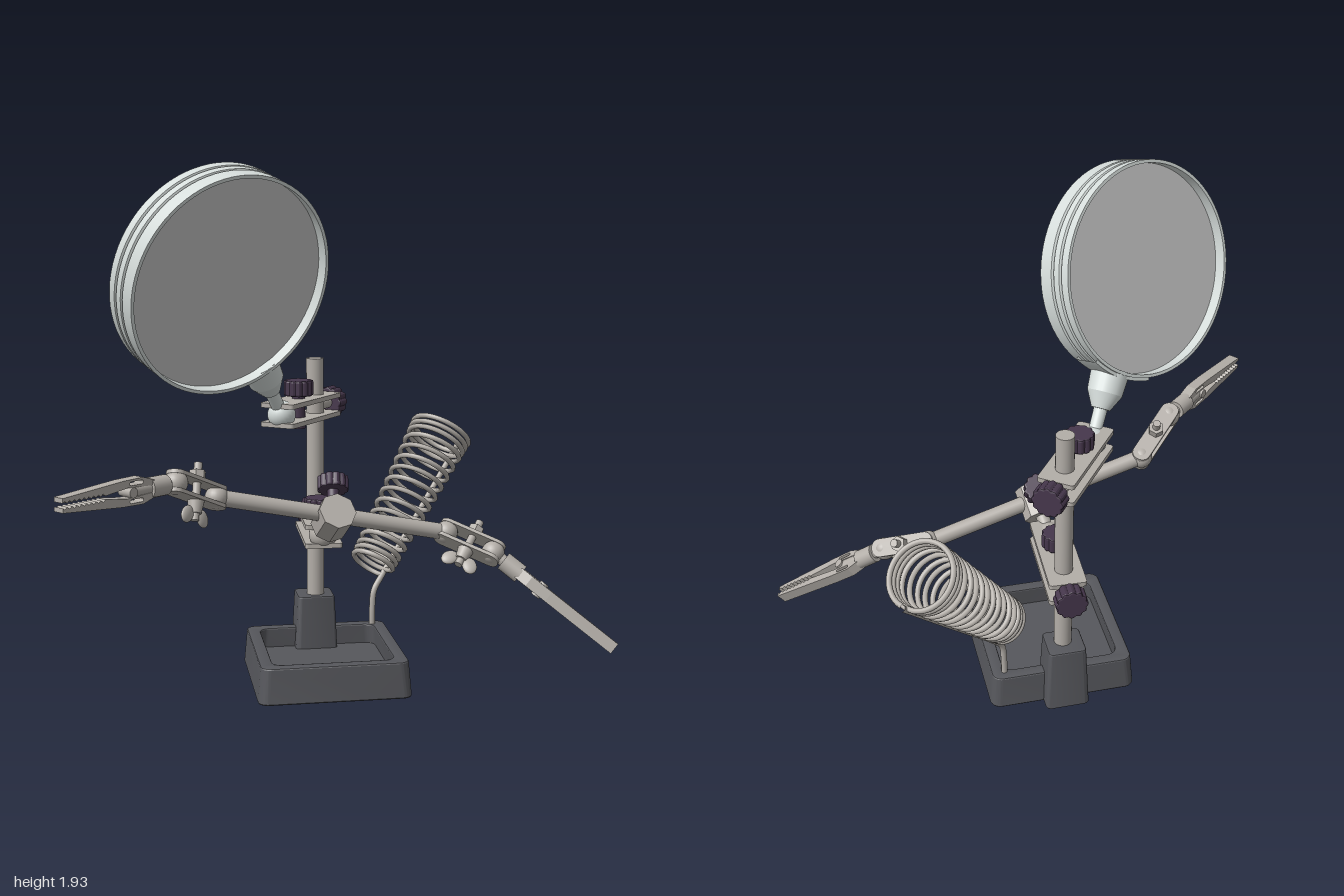
import * as THREE from 'three';
import { toCreasedNormals } from 'three/addons/utils/BufferGeometryUtils.js';

const mat = (color, side = THREE.FrontSide) => new THREE.MeshStandardMaterial({ color, side });
const METAL = mat(0xb3aea8), DARK = mat(0x56575c), KNOB = mat(0x46374c);
const PALE = mat(0xd6dddb, THREE.DoubleSide), GLASS = mat(0xcccfce);
const V = (x, y, z) => new THREE.Vector3(x, y, z);
const UP = V(0, 1, 0);

function add(parent, name, geo, material, pos) {
  const m = new THREE.Mesh(geo, material);
  m.name = name;
  if (pos) m.position.copy(pos);
  parent.add(m);
  return m;
}

// Group whose +x runs along dir and whose +y leans towards hint
function frame(parent, name, pos, dir, hint) {
  const g = new THREE.Group();
  const x = dir.clone().normalize();
  const y = hint.clone().addScaledVector(x, -hint.dot(x)).normalize();
  g.quaternion.setFromRotationMatrix(new THREE.Matrix4().makeBasis(x, y, x.clone().cross(y)));
  g.position.copy(pos);
  g.name = name;
  parent.add(g);
  return g;
}

// Round or faceted bar from a to b
function bar(parent, name, a, b, ra, rb = ra, material = METAL, sides = 24) {
  const geo = new THREE.CylinderGeometry(rb, ra, a.distanceTo(b), sides);
  const m = add(parent, name, sides < 12 ? toCreasedNormals(geo, 0.3) : geo, material, a.clone().lerp(b, 0.5));
  m.quaternion.setFromUnitVectors(UP, b.clone().sub(a).normalize());
  return m;
}

const ball = (parent, name, pos, r, material = METAL) =>
  add(parent, name, new THREE.SphereGeometry(r, 24, 16), material, pos);

// Fluted hand knob centred at pos, turning about axis
function knob(parent, name, pos, axis, r = 0.055, h = 0.06) {
  const pts = [];
  for (let i = 0; i < 96; i++) {
    const a = i / 96 * Math.PI * 2, q = (r - 0.008) * (1 + 0.06 * Math.cos(12 * a));
    pts.push(new THREE.Vector2(q * Math.cos(a), q * Math.sin(a)));
  }
  const geo = new THREE.ExtrudeGeometry(new THREE.Shape(pts),
    { depth: h - 0.014, bevelSize: 0.006, bevelThickness: 0.007, bevelSegments: 2 });
  geo.translate(0, 0, -h / 2 + 0.007);
  const m = add(parent, name, geo, KNOB, pos);
  m.quaternion.setFromUnitVectors(V(0, 0, 1), axis.clone().normalize());
}

function roundRect(x0, x1, z0, z1, r, Type = THREE.Shape) {
  const s = new Type();
  s.absarc(x1 - r, z1 - r, r, 0, Math.PI / 2);
  s.absarc(x0 + r, z1 - r, r, Math.PI / 2, Math.PI);
  s.absarc(x0 + r, z0 + r, r, Math.PI, Math.PI * 1.5);
  s.absarc(x1 - r, z0 + r, r, Math.PI * 1.5, Math.PI * 2);
  s.closePath();
  return s;
}

// Upright block with rounded corners, narrowing towards its top
function taperBlock(parent, name, shape, y0, y1, cx, cz, taper) {
  const geo = new THREE.ExtrudeGeometry(shape, { depth: y1 - y0 - 0.01, bevelSize: 0.008, bevelOffset: -0.008,
    bevelThickness: 0.005, bevelSegments: 2, curveSegments: 6 });
  geo.rotateX(-Math.PI / 2).translate(0, 0.005, 0);
  const p = geo.attributes.position;
  for (let i = 0; i < p.count; i++) {
    const k = 1 - taper * p.getY(i) / (y1 - y0);
    p.setXYZ(i, p.getX(i) * k + cx, p.getY(i) + y0, p.getZ(i) * k + cz);
  }
  geo.computeVertexNormals();
  add(parent, name, toCreasedNormals(geo, 0.5), DARK);
}

// Pair of flat plates gripping the pole at one end and a ball at the other
function poleClamp(parent, name, pole, end) {
  const u = end.clone().sub(pole), len = u.length();
  const g = frame(parent, name, pole, u, UP);
  for (const y of [-0.045, 0.027])
    add(g, 'clampPlate', new THREE.ExtrudeGeometry(roundRect(-0.09, len + 0.04, -0.07, 0.07, 0.012),
      { depth: 0.018, bevelEnabled: false }).rotateX(-Math.PI / 2), METAL, V(0, y, 0));
  bar(g, 'clampScrew', V(len / 2, -0.07, 0), V(len / 2, 0.06, 0), 0.025, 0.025, KNOB);
  knob(g, 'clampKnob', V(len / 2, 0.085, 0), UP);
  bar(g, 'poleScrew', V(-0.12, 0, 0), V(0, 0, 0), 0.022);
  knob(g, 'poleKnob', V(-0.13, 0, 0), V(1, 0, 0), 0.06, 0.06);
}

// Toothed jaw outline, opening downwards
function jawGeometry(len) {
  const s = new THREE.Shape([[0, 0.012], [0, 0.03], [0.05, 0.046], [0.14, 0.044], [len, 0.024], [len, 0.008]]
    .map(p => new THREE.Vector2(...p)));
  for (let i = 0; i < 9; i++) {
    const x = len - 0.008 - i * 0.02;
    s.lineTo(x, 0.014);
    s.lineTo(x - 0.01, 0.006);
  }
  s.lineTo(0.12, 0.018);
  s.holes.push(roundRect(0.05, 0.11, 0.024, 0.037, 0.006, THREE.Path));
  return new THREE.ExtrudeGeometry(s, { depth: 0.044, bevelEnabled: false }).translate(0, 0, -0.022);
}

// Jointed gripper: rod end a, swivel plates to b, then a clip reaching tip
function gripper(parent, name, a, b, tip, boltHint, jawHint) {
  const g = new THREE.Group();
  g.name = name;
  parent.add(g);
  ball(g, 'innerBall', a, 0.043);
  ball(g, 'outerBall', b, 0.043);
  const len = a.distanceTo(b);
  const j = frame(g, 'swivelJoint', a, b.clone().sub(a), boltHint);
  for (const y of [-0.04, 0.026])
    add(j, 'swivelPlate', new THREE.ExtrudeGeometry(roundRect(-0.035, len + 0.035, -0.035, 0.035, 0.033),
      { depth: 0.014, bevelEnabled: false }).rotateX(-Math.PI / 2), METAL, V(0, y, 0));
  bar(j, 'swivelBolt', V(len / 2, -0.1, 0), V(len / 2, 0.11, 0), 0.015);
  bar(j, 'boltHead', V(len / 2, -0.07, 0), V(len / 2, -0.04, 0), 0.03, 0.03, METAL, 6);
  bar(j, 'wingNut', V(len / 2, 0.04, 0), V(len / 2, 0.085, 0), 0.03, 0.022);
  for (const s of [-1, 1]) {
    const w = ball(j, 'nutWing', V(len / 2 + s * 0.04, 0.095, 0), 0.034);
    w.scale.set(0.8, 1, 0.35);
    w.rotation.z = -s * 0.6;
  }
  const d = tip.clone().sub(b), total = d.length();
  const c = frame(g, 'clip', b, d, jawHint);
  bar(c, 'clipStem', V(0, 0, 0), V(0.08, 0, 0), 0.022);
  bar(c, 'clipSocket', V(0.05, 0, 0), V(0.13, 0, 0), 0.036);
  bar(c, 'clipPivot', V(0.22, 0, -0.03), V(0.22, 0, 0.03), 0.018);
  bar(c, 'clipShank', V(0.12, 0, 0), V(0.22, 0, 0), 0.024);
  const geo = jawGeometry(total - 0.12);
  add(c, 'upperJaw', geo, METAL, V(0.12, 0, 0));
  add(c, 'lowerJaw', geo, METAL, V(0.12, 0, 0)).rotation.x = Math.PI;
}

export function createModel() {
  const root = new THREE.Group();
  root.name = 'helpingHandStand';

  // Base tray, column foot and pole
  const tray = roundRect(-0.285, 0.285, -0.285, 0.285, 0.04);
  tray.holes.push(roundRect(-0.235, 0.235, -0.235, 0.235, 0.04, THREE.Path));
  taperBlock(root, 'baseTray', tray, 0, 0.135, -0.03, -0.045, 0.04);
  add(root, 'trayFloor', new THREE.BoxGeometry(0.52, 0.055, 0.52), DARK, V(-0.03, 0.03, -0.045));
  taperBlock(root, 'columnFoot', roundRect(-0.085, 0.085, -0.08, 0.08, 0.02), 0, 0.265, -0.033, -0.305, 0.15);
  bar(root, 'pole', V(-0.03, 0.1, -0.295), V(-0.03, 1.2, -0.295), 0.034);

  // Magnifier on the upper clamp
  const lensBall = V(-0.187, 1.015, -0.083), lensC = V(-0.427, 1.532, 0.23), n = V(0.42, -0.23, 0.88);
  poleClamp(root, 'upperClamp', V(-0.03, 1.015, -0.295), lensBall);
  ball(root, 'magnifierBall', lensBall, 0.053, PALE);
  const w = lensBall.clone().sub(lensC).normalize(), at = d => lensC.clone().addScaledVector(w, d);
  bar(root, 'magnifierSocket', at(0.38), at(0.47), 0.072, 0.066, PALE);
  bar(root, 'magnifierTaper', at(0.47), at(0.53), 0.066, 0.035, PALE);
  bar(root, 'magnifierStem', at(0.52), at(0.64), 0.026, 0.024, PALE);
  const lens = frame(root, 'magnifier', lensC, w, n);
  const rim = [[0.382, -0.074], [0.394, -0.074], [0.394, -0.04], [0.386, -0.036], [0.386, -0.03], [0.394, -0.026],
    [0.394, 0.002], [0.386, 0.006], [0.386, 0.012], [0.394, 0.016], [0.394, 0.074], [0.382, 0.074], [0.382, -0.074]];
  add(lens, 'lensRim', toCreasedNormals(new THREE.LatheGeometry(rim.map(p => new THREE.Vector2(...p)), 80), 0.5), PALE);
  add(lens, 'lensGlass', new THREE.CylinderGeometry(0.384, 0.384, 0.06, 80), GLASS);
  const lug = [[0.39, -0.066], [0.406, -0.066], [0.406, 0.04], [0.39, 0.04]].map(p => new THREE.Vector2(...p));
  add(lens, 'rimLug', toCreasedNormals(new THREE.LatheGeometry(lug, 20, Math.PI / 2 - 0.35, 0.7), 0.5), PALE);

  // Lower clamp carrying the hub and cross rod
  const hubBall = V(-0.04, 0.565, -0.03), hub = V(-0.018, 0.653, 0.085);
  poleClamp(root, 'lowerClamp', V(-0.03, 0.565, -0.295), hubBall);
  ball(root, 'hubBall', hubBall, 0.053);
  bar(root, 'hubStem', hubBall, hub, 0.026);
  const out = hub.clone().sub(hubBall).normalize();
  bar(root, 'hub', hub.clone().addScaledVector(out, -0.065), hub.clone().addScaledVector(out, 0.06), 0.07, 0.07, METAL, 8);
  const turn = V(0.01, 0.11, -0.08);
  bar(root, 'hubScrew', hub, hub.clone().add(turn), 0.022, 0.022, KNOB);
  knob(root, 'hubKnob', hub.clone().add(turn), turn, 0.058, 0.055);
  const leftA = V(0.42, 0.57, 0.03), rightA = V(-0.45, 0.755, 0.14);
  bar(root, 'crossRod', rightA, leftA, 0.03);
  gripper(root, 'rightGripper', rightA, V(-0.6, 0.84, 0.275), V(-0.99, 0.845, 0.61), V(-0.1, -0.16, 0.17), UP);
  gripper(root, 'leftGripper', leftA, V(0.58, 0.505, 0.11), V(0.985, 0.18, 0.325), V(0, -0.7, 0.7), V(0, 0, 1));

  // Iron holder: a flaring coil with tight ends, on a bent support wire
  const low = V(0.19, 0.38, -0.265), high = V(0.53, 0.868, -0.525);
  const holder = frame(root, 'ironHolder', low, high.clone().sub(low), V(0.57, -0.68, -0.46));
  const L = low.distanceTo(high), turns = 16, pts = [];
  for (let i = 0; i <= turns * 20; i++) {
    const t = i / 20, a = t * Math.PI * 2;
    const x = t < 3 ? t * 0.025 : t > 13 ? L - (16 - t) * 0.025 : 0.075 + (t - 3) / 10 * (L - 0.15);
    const r = 0.082 + 0.04 * x / L;
    pts.push(V(x, r * Math.cos(a), r * Math.sin(a)));
  }
  add(holder, 'coil', new THREE.TubeGeometry(new THREE.CatmullRomCurve3(pts), 800, 0.0105, 7), METAL);
  const side = V(0.57, -0.68, -0.46);
  const wire = new THREE.CatmullRomCurve3([V(0.195, 0.05, -0.275), V(0.195, 0.2, -0.275), V(0.203, 0.27, -0.28),
    low.clone().addScaledVector(side, 0.085), low.clone().lerp(high, 0.5).addScaledVector(side, 0.107),
    high.clone().addScaledVector(side, 0.128)]);
  add(root, 'holderWire', new THREE.TubeGeometry(wire, 60, 0.012, 10), METAL);
  return root;
}
